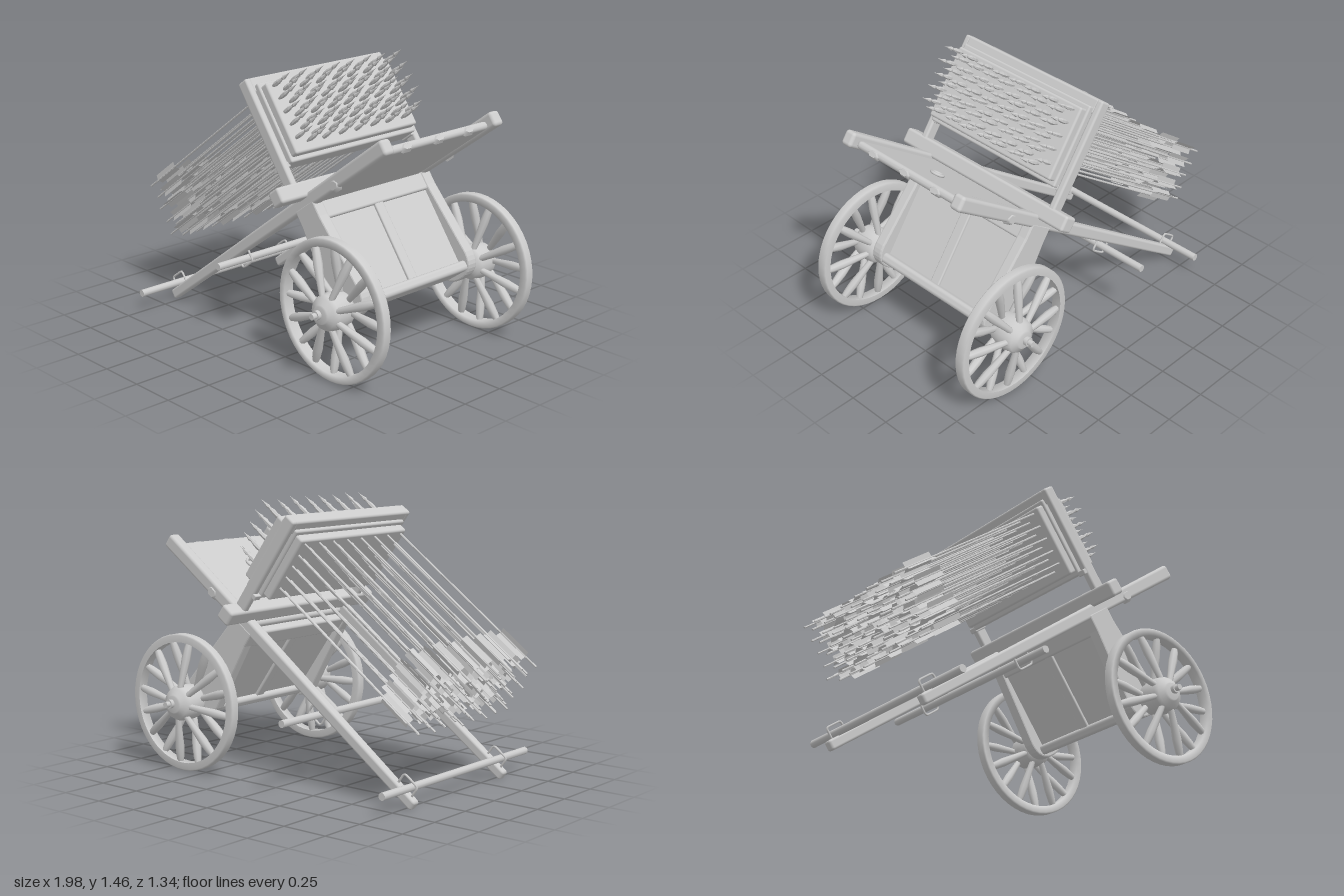
import * as THREE from 'three';
import { mergeGeometries } from 'three/addons/utils/BufferGeometryUtils.js';
import { RoundedBoxGeometry } from 'three/addons/geometries/RoundedBoxGeometry.js';

const grey = new THREE.MeshStandardMaterial({ color: 0xcccccc });
const faceted = new THREE.MeshStandardMaterial({ color: 0xcccccc, flatShading: true, side: THREE.DoubleSide });

function add(parent, name, geometry, x = 0, y = 0, z = 0, material = grey) {
  const mesh = new THREE.Mesh(geometry, material);
  mesh.name = name;
  mesh.position.set(x, y, z);
  parent.add(mesh);
  return mesh;
}

// Rounded beam given by its minimum and maximum corners
function beam(parent, name, [x0, x1], [y0, y1], [z0, z1], r = 0.01) {
  const g = new RoundedBoxGeometry(x1 - x0, y1 - y0, z1 - z0, 2, r);
  return add(parent, name, g, (x0 + x1) / 2, (y0 + y1) / 2, (z0 + z1) / 2);
}

// Cylinder lying along z
function rod(parent, name, r, z0, z1, x, y, sides = 12) {
  const g = new THREE.CylinderGeometry(r, r, z1 - z0, sides).rotateX(Math.PI / 2);
  return add(parent, name, g, x, y, (z0 + z1) / 2);
}

// Profile of [radius, height] pairs turned around y
function turned(profile, sides) {
  return new THREE.LatheGeometry(profile.map(p => new THREE.Vector2(...p)), sides);
}

// Long carrying pole, thinner toward its low end
function poleGeometry() {
  const g = new RoundedBoxGeometry(2.04, 0.08, 0.068, 3, 0.018);
  const p = g.attributes.position;
  for (let i = 0; i < p.count; i++) {
    const s = 0.68 + 0.32 * Math.min(1, (p.getX(i) + 1.02) / 1.5);
    p.setY(i, p.getY(i) * s);
    p.setZ(i, p.getZ(i) * s);
  }
  return g;
}

// Side cheek that joins pole and axle, spreading downward
function cheekGeometry() {
  const s = new THREE.Shape();
  s.moveTo(-0.07, 0.53);
  s.lineTo(-0.07, 0.45);
  s.lineTo(-0.11, 0.04);
  s.quadraticCurveTo(-0.11, -0.065, 0, -0.065);
  s.quadraticCurveTo(0.115, -0.065, 0.115, 0.04);
  s.lineTo(0.07, 0.45);
  s.lineTo(0.07, 0.53);
  return new THREE.ExtrudeGeometry(s, {
    depth: 0.044, bevelSize: 0.008, bevelThickness: 0.01, bevelSegments: 2, curveSegments: 8,
  }).translate(0, 0, -0.022);
}

function makeWheel() {
  const wheel = new THREE.Group();
  wheel.name = 'wheel';
  // Rim
  add(wheel, 'rim', turned([[0.325, -0.028], [0.36, -0.028], [0.368, -0.02], [0.368, 0.02],
    [0.36, 0.028], [0.325, 0.028], [0.325, -0.028]], 48).rotateX(Math.PI / 2));
  // Bulging hub
  add(wheel, 'hub', turned([[0, -0.095], [0.045, -0.095], [0.05, -0.085], [0.08, -0.07], [0.092, -0.05], [0.096, 0],
    [0.092, 0.05], [0.08, 0.07], [0.05, 0.085], [0.045, 0.095], [0, 0.095]], 24).rotateX(Math.PI / 2));
  // Swelling spokes that lean alternately from both sides of the hub
  const spoke = turned([[0.015, -0.135], [0.019, -0.05], [0.024, 0.04], [0.021, 0.1], [0.016, 0.135]], 8);
  for (let i = 0; i < 16; i++) {
    const arm = new THREE.Group();
    arm.name = 'spokeArm';
    arm.rotation.z = (i / 16) * Math.PI * 2;
    const side = i % 2 ? 1 : -1;
    add(arm, 'spoke', spoke, 0, 0.2, side * 0.024).rotation.x = -side * 0.17;
    wheel.add(arm);
  }
  return wheel;
}

// Arrow along +x: shaft, socketed point and three vanes
function arrowGeometry() {
  const shaft = new THREE.CylinderGeometry(0.0055, 0.0055, 1.29, 6).rotateZ(-Math.PI / 2).translate(-0.505, 0, 0);
  const head = turned([[0.006, 0], [0.012, 0.03], [0.012, 0.06], [0.006, 0.09], [0.011, 0.105], [0.004, 0.135],
    [0, 0.165]], 6).rotateZ(-Math.PI / 2).translate(0.12, 0, 0);
  const parts = [shaft, head];
  for (let i = 0; i < 3; i++) {
    parts.push(new THREE.PlaneGeometry(0.19, 0.028).translate(-0.975, 0.017, 0).rotateX((i * Math.PI * 2) / 3));
  }
  return mergeGeometries(parts);
}

export function createModel() {
  const model = new THREE.Group();
  model.name = 'arrowCart';

  // Everything but the wheels sits in a frame tilted about the axle
  const frame = new THREE.Group();
  frame.name = 'tiltedFrame';
  frame.position.set(0.62, 0.375, 0);
  frame.rotation.z = Math.PI / 5;
  model.add(frame);

  const pole = poleGeometry();
  const cheek = cheekGeometry();
  const stud = new THREE.CylinderGeometry(0.03, 0.052, 0.025, 6);
  const staple = new THREE.TubeGeometry(new THREE.CatmullRomCurve3([
    [-0.05, -0.03], [-0.05, 0.022], [-0.04, 0.035], [0.04, 0.035], [0.05, 0.022], [0.05, -0.03],
  ].map(([x, y]) => new THREE.Vector3(x, y, 0)), false, 'catmullrom', 0.2), 24, 0.006, 6);

  for (const s of [1, -1]) {
    const z = s * 0.387;
    add(frame, 'pole', pole, -0.335, 0.55, z);
    add(frame, 'cheek', cheek, 0, 0, z);
    const sideStud = add(frame, 'sideStud', stud, 0.263, 0.535, s * 0.412);
    sideStud.rotation.set(s * Math.PI / 2, Math.PI / 2, 0);
    sideStud.scale.x = 0.75;
    add(frame, 'upperStaple', staple, -1.262, 0.603, z);
    add(frame, 'lowerStaple', staple, -0.637, 0.492, z).rotation.x = Math.PI;
    // Rack upright and its peg
    beam(frame, 'rackPost', [-0.012, 0.058], [0.63, 1.23], [s * 0.462 - 0.019, s * 0.462 + 0.019], 0.012);
    beam(frame, 'rackPeg', [-0.03, 0.055], [0.735, 0.765], [s * 0.455 - 0.024, s * 0.455 + 0.024], 0.006);
    // Wheel with axle end and collar
    const wheel = makeWheel();
    wheel.position.set(0.627, 0.375, s * 0.52);
    if (s < 0) wheel.rotation.z = 0.12;
    model.add(wheel);
    rod(model, 'axleEnd', 0.016, Math.min(s * 0.35, s * 0.667), Math.max(s * 0.35, s * 0.667), 0.627, 0.382);
    rod(model, 'axleCollar', 0.024, s * 0.632 - 0.01, s * 0.632 + 0.01, 0.627, 0.382);
  }

  // Loose carrying bars held by the staples
  rod(frame, 'lowerCarryBar', 0.02, -0.595, 0.65, -1.272, 0.594, 10);
  rod(frame, 'upperCarryBar', 0.02, -0.67, 0.57, -0.646, 0.492, 10);

  // Deck with ring and end studs
  beam(frame, 'deck', [-0.03, 0.64], [0.52, 0.563], [-0.36, 0.36], 0.02);
  add(frame, 'deckRing', new THREE.TorusGeometry(0.032, 0.008, 8, 20), 0.41, 0.572, 0).rotation.x = Math.PI / 2;
  for (const z of [-0.21, 0.005, 0.23]) {
    const m = add(frame, 'endStud', stud, 0.635, 0.535, z);
    m.rotation.z = -Math.PI / 2;
    m.scale.x = 0.5;
  }

  // Panelled support between the cheeks
  beam(frame, 'supportPanel', [-0.05, 0.05], [0, 0.5], [-0.37, 0.37], 0.005);
  beam(frame, 'supportTopRail', [-0.07, 0.07], [0.43, 0.53], [-0.37, 0.37], 0.012);
  beam(frame, 'axleBeam', [-0.08, 0.095], [-0.045, 0.01], [-0.37, 0.37], 0.02);
  beam(frame, 'supportStile', [-0.065, 0.065], [0, 0.47], [-0.03, 0.03], 0.008);

  // Arrow rack
  beam(frame, 'rackSill', [-0.022, 0.062], [0.565, 0.65], [-0.575, 0.583], 0.015);
  beam(frame, 'rackTopRail', [-0.012, 0.058], [1.15, 1.23], [-0.455, 0.455], 0.012);
  beam(frame, 'rackCore', [-0.03, 0.085], [0.745, 1.185], [-0.442, 0.442], 0.01);
  beam(frame, 'rackPlates', [-0.075, 0.13], [0.77, 1.162], [-0.43, 0.43], 0.012);

  // Bundle of arrows in staggered columns, each slightly shifted and turned
  let seed = 7;
  const jitter = a => {
    seed = (seed * 16807) % 2147483647;
    return (seed / 2147483647 - 0.5) * 2 * a;
  };
  const arrow = arrowGeometry();
  for (let col = 0; col < 15; col++) {
    const base = col % 2 ? 0.82 : 0.85;
    for (let row = 0; row < 5; row++) {
      const m = add(frame, 'arrow', arrow, jitter(0.016), base + row * 0.072, (col - 7) * 0.056, faceted);
      m.rotation.set(jitter(1), jitter(0.006), jitter(0.005));
    }
  }
  return model;
}
